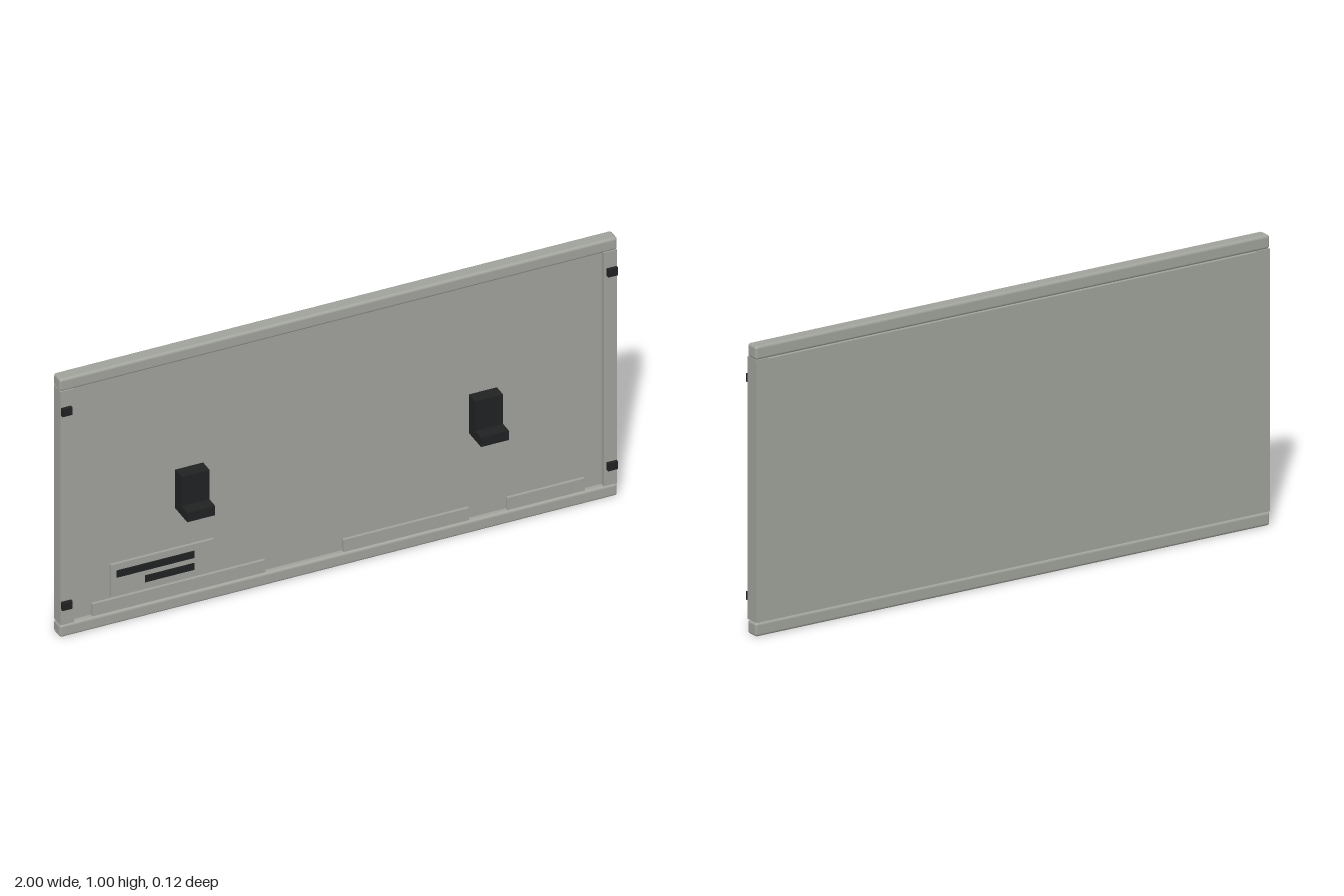
import * as THREE from 'three';
import { RoundedBoxGeometry } from 'three/addons/geometries/RoundedBoxGeometry.js';

export function createModel() {
  const model = new THREE.Group();
  model.name = 'framedPanel';

  const grey = new THREE.MeshStandardMaterial({ color: 0x9fa19a });
  grey.name = 'warmGrey';
  const black = new THREE.MeshStandardMaterial({ color: 0x202122 });
  black.name = 'black';

  const add = (name, geometry, material, parent = model) => {
    const mesh = new THREE.Mesh(geometry, material);
    mesh.name = name;
    parent.add(mesh);
    return mesh;
  };

  // Box given by its lower and upper limits on each axis
  const box = (name, material, [x0, x1], [y0, y1], [z0, z1]) =>
    add(name, new THREE.BoxGeometry(x1 - x0, y1 - y0, z1 - z0), material)
      .position.set((x0 + x1) / 2, (y0 + y1) / 2, (z0 + z1) / 2);

  const back = -0.062, front = -0.011, panelFront = -0.029;

  // Recessed panel
  box('panel', grey, [-0.95, 0.95], [0.05, 0.95], [back, panelFront]);

  // Rounded rails along the top and bottom
  for (const [name, y] of [['bottomRail', 0.025], ['topRail', 0.976]]) {
    add(name, new RoundedBoxGeometry(2, 0.048, 0.051, 3, 0.01), grey)
      .position.set(0, y, (back + front) / 2);
  }

  // Side stiles with small corner clips
  for (const [side, s] of [['left', 1], ['right', -1]]) {
    const span = (a, b) => (s > 0 ? [a, b] : [-b, -a]);
    box(side + 'Stile', grey, span(0.95, 0.998), [0.05, 0.953], [back, front]);
    for (const y of [0.112, 0.862]) {
      box(side + 'Clip', black, span(0.96, 0.996), [y, y + 0.029], [front, 0.001]);
    }
  }

  // L-shaped hooks, drawn in profile and extruded across their width
  const profile = new THREE.Shape([
    [panelFront, 0.377], [0.063, 0.377], [0.063, 0.413],
    [0.019, 0.413], [0.019, 0.527], [panelFront, 0.527],
  ].map(([z, y]) => new THREE.Vector2(-z, y)).reverse());
  const hookGeometry = new THREE.ExtrudeGeometry(profile, { depth: 0.1, bevelEnabled: false });
  hookGeometry.rotateY(Math.PI / 2);
  for (const x of [-0.578, 0.475]) add('hook', hookGeometry, black).position.x = x;

  // Low tabs standing on the bottom rail
  for (const span of [[-0.88, -0.26], [0.02, 0.47], [0.607, 0.885]]) {
    box('lowerTab', grey, span, [0.045, 0.095], [panelFront, -0.018]);
  }

  // Raised plate with two dark bars
  box('plate', grey, [-0.813, -0.443], [0.105, 0.227], [panelFront, -0.019]);
  box('upperBar', black, [-0.793, -0.515], [0.176, 0.202], [-0.019, -0.015]);
  box('lowerBar', black, [-0.692, -0.515], [0.13, 0.155], [-0.019, -0.015]);

  return model;
}
